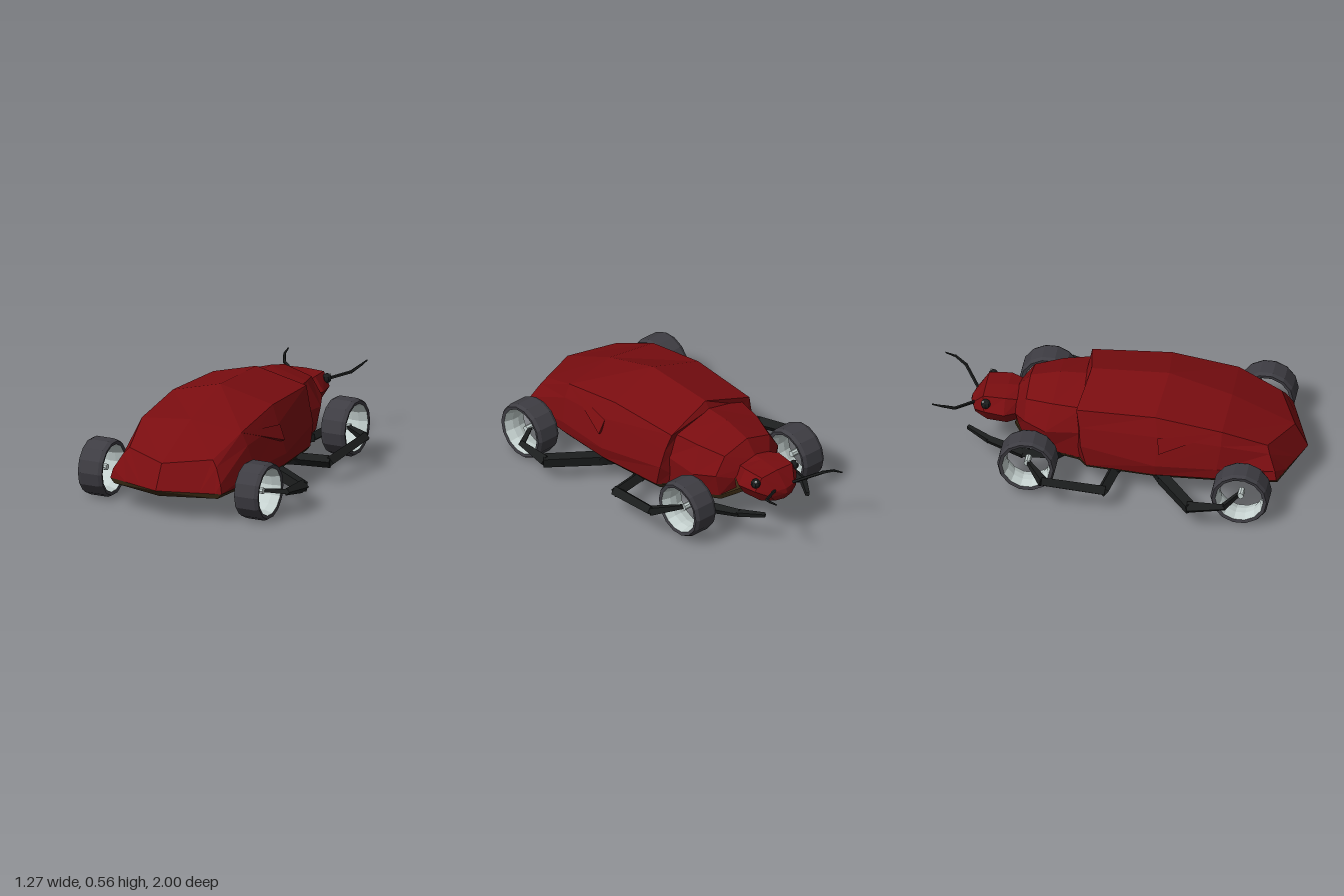
import * as THREE from 'three';
import { ConvexGeometry } from 'three/addons/geometries/ConvexGeometry.js';

const mat = (name, color, side = THREE.FrontSide) =>
  new THREE.MeshStandardMaterial({ name, color, side, flatShading: true });
const V = (p) => new THREE.Vector3(...p);

// Skin over rings; each ring lists [x, y, z] from the centre line out to +x and is mirrored.
function loft(halfRings, flip = false) {
  const rings = halfRings.map((h) => [
    ...[...h].reverse(),
    ...h.slice(1).map(([x, y, z]) => [-x, y, z]),
  ]);
  const pos = [];
  const tri = (a, b, c) => pos.push(...a, ...(flip ? c : b), ...(flip ? b : c));
  for (let i = 0; i < rings.length - 1; i++) {
    for (let k = 0; k < rings[i].length - 1; k++) {
      const a = rings[i][k], b = rings[i][k + 1];
      const c = rings[i + 1][k], d = rings[i + 1][k + 1];
      tri(a, b, c);
      tri(b, d, c);
    }
  }
  const g = new THREE.BufferGeometry();
  g.setAttribute('position', new THREE.Float32BufferAttribute(pos, 3));
  g.computeVertexNormals();
  return g;
}

export function createModel() {
  const model = new THREE.Group();
  const red = mat('shellRed', 0x7a0d10, THREE.DoubleSide);
  const brown = mat('bellyBrown', 0x3a2a14, THREE.DoubleSide);
  const black = mat('limbBlack', 0x1b1d1d);
  const rubber = mat('tyreGrey', 0x3e3d43, THREE.DoubleSide);
  const metal = mat('rimSilver', 0xc6d2d0, THREE.DoubleSide);
  const white = mat('eyeGlint', 0xe4e8e8);

  const add = (name, geo, material, parent = model) => {
    const m = new THREE.Mesh(geo, material);
    m.name = name;
    parent.add(m);
    return m;
  };

  // Wing case, front to tail
  add('wingCase', loft([
    [[0, .515, -.2], [.24, .44, -.2], [.27, .35, -.2], [.28, .23, -.2], [.26, .16, -.2]],
    [[0, .555, -.17], [.28, .475, -.21], [.31, .38, -.19], [.337, .28, -.18], [.335, .16, -.15]],
    [[0, .57, .25], [.3, .487, .22], [.345, .39, .24], [.388, .23, .23], [.375, .165, .23]],
    [[0, .465, .59], [.3, .43, .58], [.335, .36, .58], [.37, .23, .56], [.365, .168, .56]],
    [[0, .31, .93], [.25, .335, .82], [.28, .3, .835], [.323, .22, .87], [.335, .17, .88]],
    [[0, .175, 1], [.11, .173, .96], [.22, .171, .92], [.3, .17, .892], [.335, .17, .88]],
  ]), red);

  // Folded ridge on each flank
  for (const s of [1, -1]) {
    const pts = [[.302, .428, .58], [.39, .31, .25], [.355, .39, .24], [.36, .3, .26]];
    add('flankFold', new ConvexGeometry(pts.map(([x, y, z]) => V([s * x, y, z]))), red);
  }

  // Shield between wing case and head
  add('thorax', loft([
    [[0, .38, -.58], [.1, .36, -.57], [.14, .31, -.56], [.12, .24, -.55]],
    [[0, .475, -.5], [.16, .43, -.5], [.225, .33, -.5], [.2, .2, -.5]],
    [[0, .515, -.34], [.21, .45, -.35], [.278, .31, -.38], [.25, .18, -.38]],
    [[0, .52, -.19], [.24, .46, -.18], [.285, .33, -.18], [.28, .16, -.18]],
  ]), red);

  // Head
  add('head', loft([
    Array(5).fill([0, .28, -.82]),
    [[0, .31, -.815], [.07, .31, -.8], [.09, .28, -.79], [.06, .245, -.79], [0, .24, -.8]],
    [[0, .39, -.74], [.11, .385, -.74], [.15, .31, -.73], [.1, .23, -.72], [0, .22, -.72]],
    [[0, .4, -.62], [.12, .39, -.62], [.17, .31, -.62], [.12, .235, -.61], [0, .225, -.6]],
    [[0, .4, -.55], [.1, .375, -.55], [.13, .31, -.55], [.1, .25, -.55], [0, .24, -.55]],
  ]), red);

  // Belly, a shallow pan under the whole body
  const rim = [
    [.1, .24, -.57], [.2, .2, -.5], [.25, .18, -.38], [.275, .16, -.2], [.335, .16, -.15],
    [.375, .165, .23], [.365, .168, .56], [.335, .17, .88], [0, .175, 1],
  ];
  add('belly', loft(rim.map(([x, y, z]) => {
    const drop = x ? .028 : 0;
    return [[0, y - drop * 1.2, z === .88 ? .96 : z], [x * .93, y - drop, z], [x, y, z]];
  }), true), brown);

  // Bar through a list of [x, y, z, radius]
  const limb = (name, pts, sides = 4) => {
    const group = new THREE.Group();
    group.name = name;
    for (let i = 0; i < pts.length - 1; i++) {
      const a = V(pts[i].slice(0, 3)), b = V(pts[i + 1].slice(0, 3));
      const dir = b.clone().sub(a);
      const geo = new THREE.CylinderGeometry(pts[i + 1][3], pts[i][3], dir.length() + pts[i][3] * .5, sides);
      const seg = add(name + 'Segment', geo, black, group);
      seg.position.copy(a).add(b).multiplyScalar(.5);
      seg.quaternion.setFromUnitVectors(new THREE.Vector3(0, 1, 0), dir.normalize());
    }
    model.add(group);
  };

  // Hollow wheel: tyre, tapered rim and small hub
  const profile = (pts) => new THREE.LatheGeometry(pts.map(([r, h]) => new THREE.Vector2(r, h)), 14);
  const tyreGeo = profile([[.13, -.068], [.148, -.072], [.158, -.052], [.158, .052], [.148, .072], [.13, .068]]);
  const rimGeo = profile([[.13, .068], [.116, .02], [.116, -.02], [.13, -.068]]);
  const hubGeo = new THREE.CylinderGeometry(.018, .018, .06, 8);
  const wheel = (name, x, y, z) => {
    const g = new THREE.Group();
    g.name = name;
    add('tyre', tyreGeo, rubber, g);
    add('rim', rimGeo, metal, g);
    add('hub', hubGeo, metal, g);
    g.rotation.z = Math.PI / 2;
    g.position.set(x, y, z);
    model.add(g);
  };

  for (const s of [1, -1]) {
    const side = s > 0 ? 'left' : 'right';
    const flip = (pts) => pts.map(([x, ...rest]) => [s * x, ...rest]);

    wheel(side + 'TailWheel', s * .47, .167, .71);
    wheel(side + 'HeadWheel', s * .388, .196, -.455);

    // Legs
    limb(side + 'ForeLeg', flip([[.1, .14, -.2, .025], [.255, .15, -.33, .03], [.285, .165, -.5, .032],
      [.235, .195, -.69, .022], [.155, .205, -.81, .014]]));
    limb(side + 'MiddleLeg', flip([[.13, .125, .08, .03], [.33, .13, 0, .034], [.51, .13, -.03, .034],
      [.555, .185, -.35, .03], [.4, .196, -.455, .012]]));
    limb(side + 'HindLeg', flip([[.14, .13, .12, .03], [.36, .135, .27, .04], [.595, .135, .45, .038],
      [.598, .155, .63, .02], [.46, .167, .71, .012]]));

    // Antennae
    limb(side + 'Antenna', flip([[.06, .31, -.79, .009], [.2, .355, -.88, .009],
      [.23, .383, -.94, .007], [.237, .395, -.995, .004]]), 5);

    // Eyes with a small glint
    const eye = add(side + 'Eye', new THREE.SphereGeometry(.027, 8, 6), black);
    eye.position.set(s * .137, .355, -.722);
    const glint = add(side + 'EyeGlint', new THREE.SphereGeometry(.008, 6, 4), white);
    glint.position.set(s * .148, .374, -.735);
  }
  return model;
}
